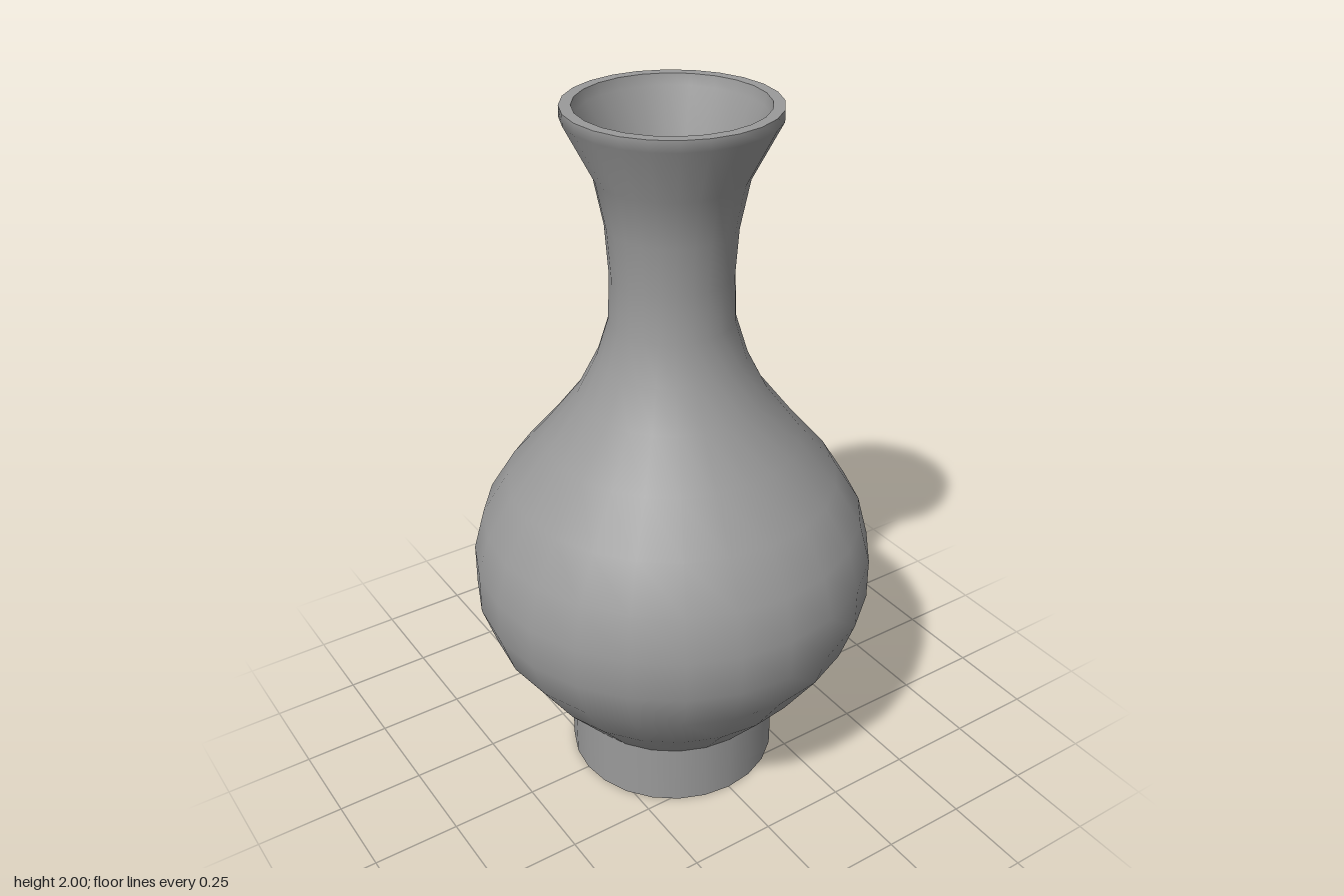
import * as THREE from 'three';

const SIDES = 24;

export function createModel() {
  const vase = new THREE.Group();
  vase.name = 'vase';
  const material = new THREE.MeshStandardMaterial({ color: 0x9a9a9a });

  // Each section is a smooth lathe; sharp edges fall between sections.
  const addSection = (name, profile) => {
    const points = profile.map(([r, y]) => new THREE.Vector2(r, y));
    const mesh = new THREE.Mesh(new THREE.LatheGeometry(points, SIDES), material);
    mesh.name = name;
    vase.add(mesh);
  };

  // Foot: flat underside and straight wall
  addSection('footUnderside', [[0, 0], [0.305, 0]]);
  addSection('footWall', [[0.305, 0], [0.305, 0.187]]);

  // Rounded belly, slender neck and flared mouth
  addSection('body', [
    [0.305, 0.187], [0.425, 0.33], [0.525, 0.48], [0.565, 0.6], [0.564, 0.72],
    [0.532, 0.84], [0.458, 0.96], [0.353, 1.085], [0.257, 1.21], [0.202, 1.32],
    [0.168, 1.43], [0.164, 1.56], [0.173, 1.69], [0.199, 1.82], [0.276, 1.97], [0.276, 2],
  ]);

  // Flat rim, flared inner throat, narrow inner neck and floor
  addSection('rim', [[0.276, 2], [0.246, 2]]);
  addSection('innerThroat', [[0.246, 2], [0.24, 1.97], [0.185, 1.83], [0.164, 1.72]]);
  addSection('innerNeck', [[0.164, 1.72], [0.154, 1.56], [0.155, 1.43]]);
  addSection('innerBelly', [
    [0.155, 1.43], [0.22, 1.21], [0.42, 0.96], [0.53, 0.72], [0.49, 0.48], [0.28, 0.21],
  ]);
  addSection('innerFloor', [[0.28, 0.21], [0, 0.21]]);

  return vase;
}
